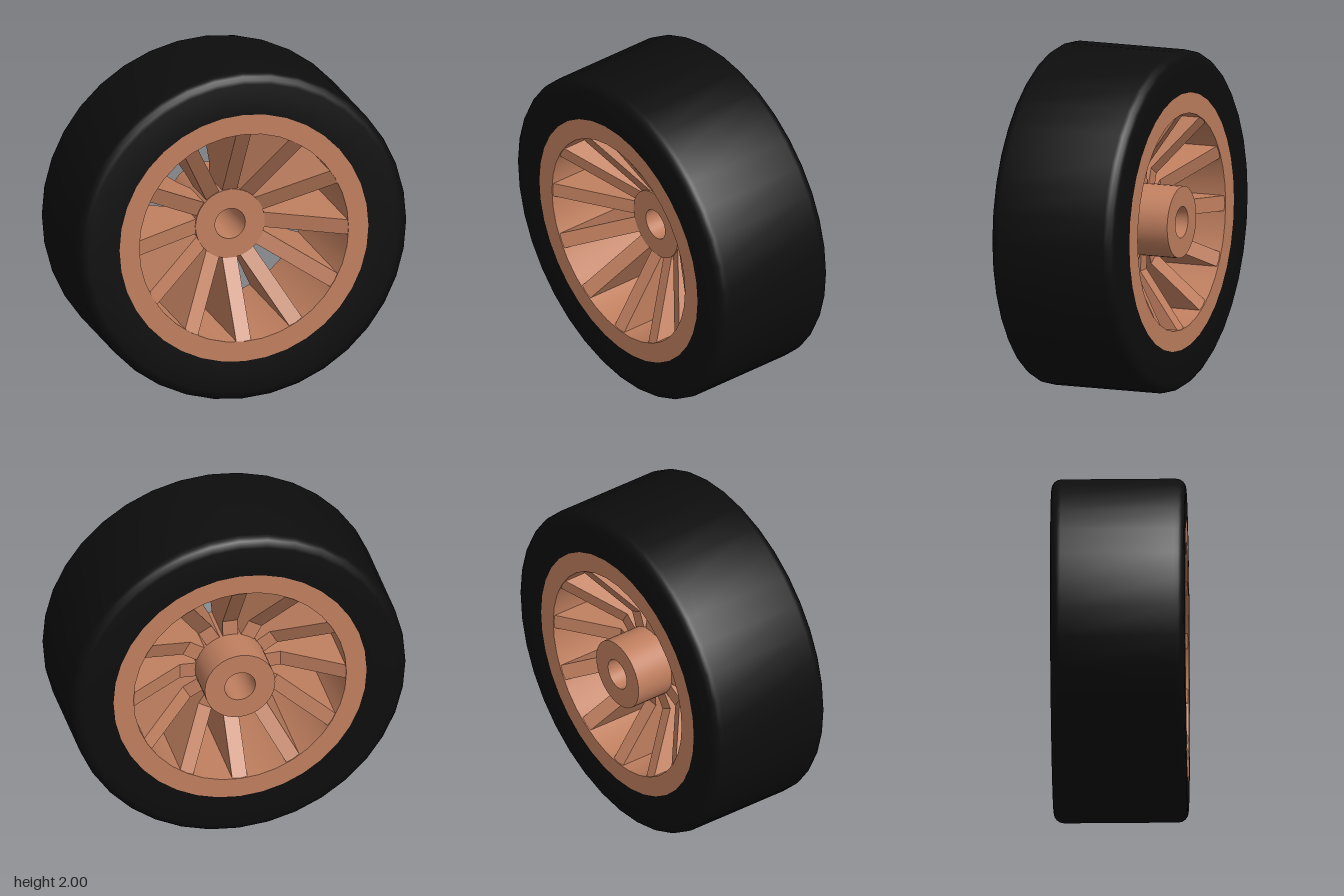
import * as THREE from 'three';
import { toCreasedNormals } from 'three/addons/utils/BufferGeometryUtils.js';

const HALF = 0.39; // half the wheel width
const SIDES = 36;

// Solid ring about the z axis from a closed [radius, z] profile, counterclockwise
function ring(name, profile, material) {
  const points = [...profile, profile[0]].map(([r, z]) => new THREE.Vector2(r, z));
  const geometry = new THREE.LatheGeometry(points, SIDES).rotateX(Math.PI / 2);
  const mesh = new THREE.Mesh(toCreasedNormals(geometry, 0.6), material);
  mesh.name = name;
  return mesh;
}

export function createModel() {
  const rubber = new THREE.MeshStandardMaterial({ color: 0x0d0d0d });
  const copper = new THREE.MeshStandardMaterial({ color: 0xc07f5f });

  const model = new THREE.Group();
  model.name = 'wheel';
  const wheel = new THREE.Group();
  wheel.name = 'wheelAssembly';
  wheel.position.y = 1;
  model.add(wheel);

  // Tyre with rounded shoulders
  const bevel = 0.06;
  const steps = 4;
  const tyre = [[0.755, -HALF]];
  for (const side of [-1, 1]) {
    for (let i = 0; i <= steps; i++) {
      const t = (side < 0 ? i - steps : i) / steps * Math.PI / 2;
      tyre.push([1 - bevel + bevel * Math.cos(t), side * (HALF - bevel) + bevel * Math.sin(t)]);
    }
  }
  tyre.push([0.755, HALF]);
  wheel.add(ring('tyre', tyre, rubber));

  // Rim, flush with the tyre walls
  wheel.add(ring('rim', [[0.755, -HALF], [0.755, HALF], [0.635, HALF], [0.635, -HALF]], copper));

  // Hub with axle bore, recessed at the front and flush at the back
  wheel.add(ring('hub', [[0.21, -HALF], [0.21, 0.12], [0.092, 0.12], [0.092, -HALF]], copper));

  // Tapered spokes: wide at the rim, narrow at the hub
  const outline = [[0.19, 0.1], [0.64, 0.388], [0.64, -0.388], [0.3, -0.148], [0.19, -0.155]];
  const shape = new THREE.Shape(outline.map(([r, z]) => new THREE.Vector2(r, z)));
  const width = 0.09;
  const spokeGeometry = new THREE.ExtrudeGeometry(shape, { depth: width, bevelEnabled: false })
    .translate(0, 0, -width / 2)
    .rotateX(Math.PI / 2);
  const spokes = new THREE.Group();
  spokes.name = 'spokes';
  for (let i = 0; i < 12; i++) {
    const spoke = new THREE.Mesh(spokeGeometry, copper);
    spoke.name = 'spoke';
    spoke.rotation.z = i * Math.PI / 6;
    spokes.add(spoke);
  }
  wheel.add(spokes);

  return model;
}
